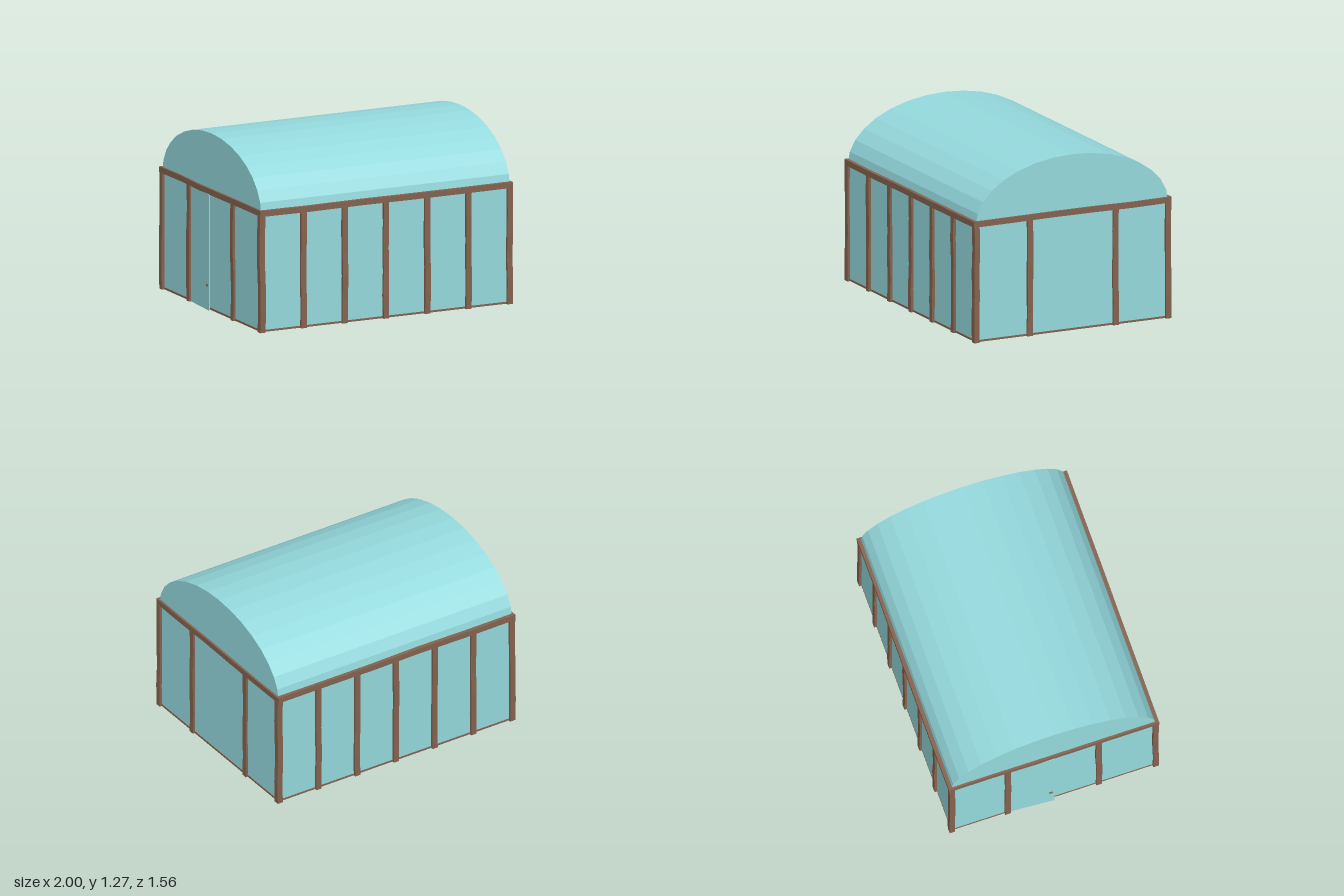
import * as THREE from 'three';

export function createModel() {
  const model = new THREE.Group();
  const glass = new THREE.MeshStandardMaterial({ color: 0x95dade });
  glass.name = 'teal glass';
  const wood = new THREE.MeshStandardMaterial({ color: 0x85634f, flatShading: true });
  wood.name = 'brown wood';

  let seed = 7;
  const wobble = () => {
    seed = (seed * 16807) % 2147483647;
    return (seed / 2147483647 - 0.5) * 0.007;
  };

  function add(name, geometry, material, x, y, z) {
    const mesh = new THREE.Mesh(geometry, material);
    mesh.name = name;
    mesh.position.set(x, y, z);
    model.add(mesh);
    return mesh;
  }
  const box = (name, w, h, d, material, x, y, z) =>
    add(name, new THREE.BoxGeometry(w, h, d), material, x, y, z);

  // Rough-hewn timber: each cross-section along the long axis shifts slightly
  function timber(name, size, x, y, z) {
    const axis = size.indexOf(Math.max(...size));
    const steps = [1, 1, 1];
    steps[axis] = 5;
    const geo = new THREE.BoxGeometry(...size, ...steps);
    const pos = geo.attributes.position;
    const shifts = Array.from({ length: 6 }, (_, i) =>
      (i === 0 || i === 5) ? [0, 0, 0] : [wobble(), wobble(), wobble()]);
    for (let i = 0; i < pos.count; i++) {
      const station = Math.round((pos.getComponent(i, axis) / size[axis] + 0.5) * 5);
      for (let c = 0; c < 3; c++) {
        if (c !== axis) pos.setComponent(i, c, pos.getComponent(i, c) + shifts[station][c]);
      }
    }
    geo.computeVertexNormals();
    add(name, geo, wood, x, y, z);
  }

  // Floor and glazed walls
  box('floor', 1.95, 0.014, 1.51, wood, 0, 0.009, 0);
  for (const s of [-1, 1]) {
    box('longWall', 1.95, 0.84, 0.012, glass, 0, 0.426, s * 0.747);
    box('endWall', 0.012, 0.84, 1.5, glass, s * 0.966, 0.426, 0);
  }

  // Barrel roof: half ellipse swept along the length
  const arc = [];
  for (let i = 0; i <= 16; i++) {
    const a = (i / 16) * Math.PI;
    arc.push(new THREE.Vector2(0.755 * Math.cos(a), 0.427 * Math.sin(a)));
  }
  const roof = new THREE.ExtrudeGeometry(new THREE.Shape(arc), { depth: 1.95, bevelEnabled: false });
  roof.translate(0, 0, -0.975).rotateY(Math.PI / 2);
  add('roof', roof, glass, 0, 0.843, 0);

  // Posts along the long sides, including the corners
  for (const z of [-0.752, 0.752]) {
    for (let i = -3; i <= 3; i++) {
      timber(Math.abs(i) === 3 ? 'cornerPost' : 'sidePost', [0.042, 0.84, 0.04], i * 0.3233, 0.42, z);
    }
    timber('longBeam', [1.98, 0.042, 0.04], 0, 0.854, z * 1.005);
  }

  // End posts and beams
  for (const x of [-0.97, 0.97]) {
    for (const z of [-0.34, 0.333]) timber('endPost', [0.038, 0.84, 0.042], x, 0.42, z);
    timber('endBeam', [0.038, 0.042, 1.55], x, 0.854, 0);
  }

  // Door on the -x end, standing slightly ajar
  const door = new THREE.Group();
  door.name = 'door';
  door.position.set(-0.972, 0, -0.32);
  door.rotation.y = -0.065;
  const panel = new THREE.Mesh(new THREE.BoxGeometry(0.008, 0.832, 0.32), glass);
  panel.name = 'doorPanel';
  panel.position.set(0, 0.418, 0.16);
  const handle = new THREE.Mesh(new THREE.BoxGeometry(0.012, 0.014, 0.025), wood);
  handle.name = 'doorHandle';
  handle.position.set(-0.005, 0.18, 0.295);
  door.add(panel, handle);
  model.add(door);

  return model;
}
